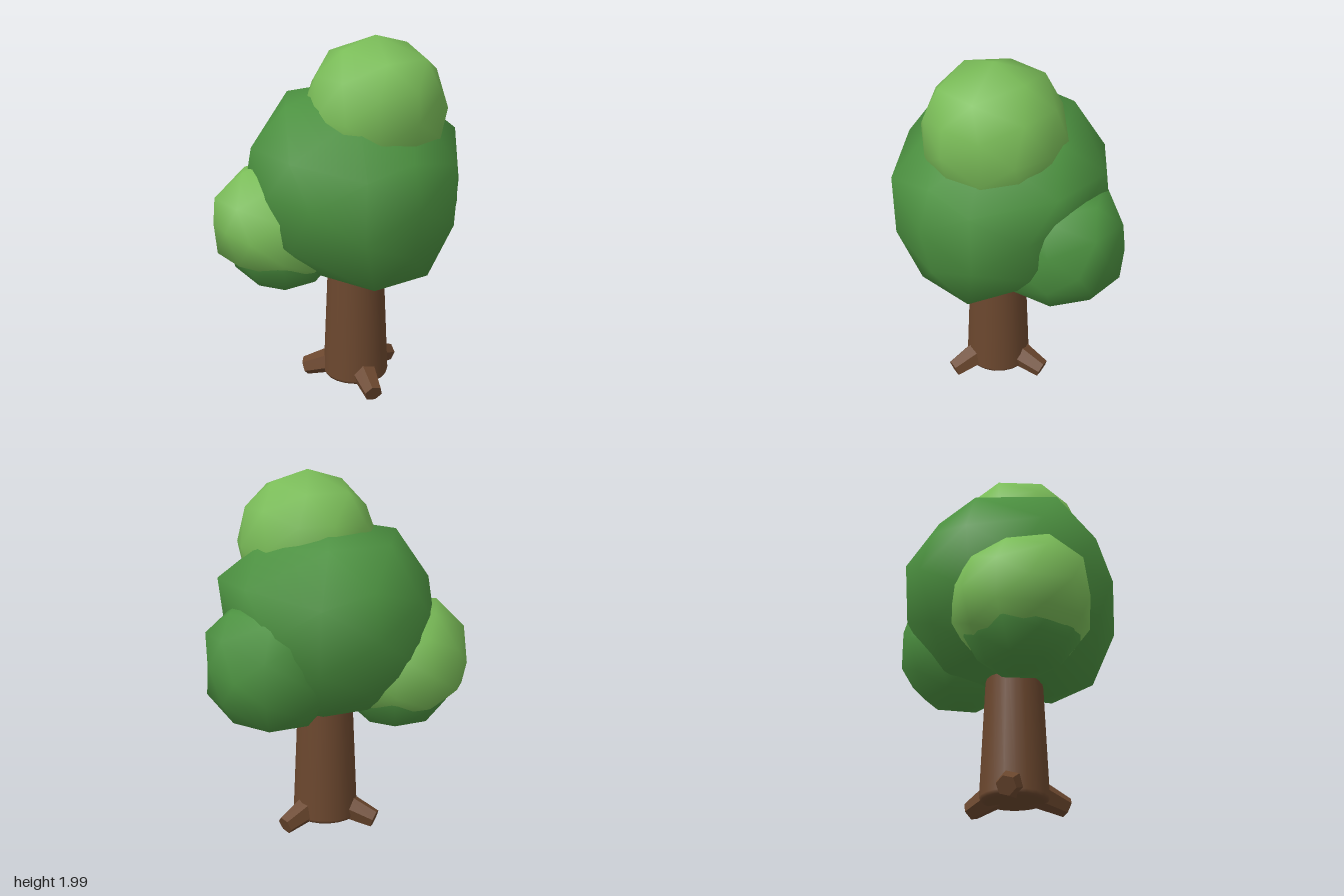
import * as THREE from 'three';
import { mergeVertices } from 'three/addons/utils/BufferGeometryUtils.js';

const paint = (name, color) => {
  const m = new THREE.MeshStandardMaterial({ color });
  m.name = name;
  return m;
};

// Faceted ball with smooth normals. Each nudge is [direction, offset, mirror]: the vertex
// in that direction moves by the offset, and so does its mirror across x or z
function leafBall(name, material, centre, radii, nudges) {
  const raw = new THREE.IcosahedronGeometry(1, 1);
  raw.deleteAttribute('normal');
  raw.deleteAttribute('uv');
  const geo = mergeVertices(raw, 1e-4);
  const pos = geo.attributes.position;
  const v = new THREE.Vector3();
  const dir = new THREE.Vector3();
  const size = new THREE.Vector3(...radii);
  const offset = new THREE.Vector3();
  for (let i = 0; i < pos.count; i++) {
    v.fromBufferAttribute(pos, i);
    offset.set(0, 0, 0);
    for (const [toward, move, mirror] of nudges) {
      dir.set(...toward).normalize();
      let hit = v.dot(dir) > 0.95;
      if (mirror === 'x') hit = hit || v.dot(dir.setX(-dir.x)) > 0.95;
      if (mirror === 'z') hit = hit || v.dot(dir.setZ(-dir.z)) > 0.95;
      if (hit) offset.set(...move);
    }
    v.multiply(size).add(offset);
    pos.setXYZ(i, v.x, v.y, v.z);
  }
  geo.computeVertexNormals();
  const mesh = new THREE.Mesh(geo, material);
  mesh.name = name;
  mesh.position.set(...centre);
  return mesh;
}

export function createModel() {
  const tree = new THREE.Group();
  tree.name = 'tree';
  const bark = paint('bark brown', 0x6b472e);
  const rootBark = paint('root brown', 0x6b472e);
  rootBark.flatShading = true;
  const leaf = paint('leaf green', 0x4c9140);
  const lightLeaf = paint('light leaf green', 0x7abc58);

  // Tapered trunk with a softened foot
  const profile = [[0, 0.05], [0.155, 0.05], [0.174, 0.057], [0.183, 0.075], [0.147, 0.9]]
    .map(([x, y]) => new THREE.Vector2(x, y));
  const trunk = new THREE.Mesh(new THREE.LatheGeometry(profile, 20), bark);
  trunk.name = 'trunk';
  trunk.position.z = 0.03;
  tree.add(trunk);

  // Three six-sided roots spread evenly around the foot
  const up = new THREE.Vector3(0, 1, 0);
  for (let i = 0; i < 3; i++) {
    const a = THREE.MathUtils.degToRad(-14 + i * 120);
    const at = (r, y) => new THREE.Vector3(Math.cos(a) * r, y, 0.03 + Math.sin(a) * r);
    const start = at(0.08, 0.13);
    const tip = at(0.295, 0.054);
    const axis = tip.clone().sub(start);
    const root = new THREE.Mesh(new THREE.CylinderGeometry(0.052, 0.082, axis.length(), 6), rootBark);
    root.name = 'root' + (i + 1);
    root.position.copy(start).add(tip).multiplyScalar(0.5);
    root.quaternion.setFromUnitVectors(up, axis.normalize());
    tree.add(root);
  }

  // Crown
  tree.add(
    leafBall('mainCrown', leaf, [0, 1.2, 0], [0.57, 0.55, 0.6], [
      [[-0.53, 0.85, 0], [-0.12, 0, 0]],
      [[0.53, 0.85, 0], [0.1, -0.04, 0]],
      [[-0.81, 0.5, 0.31], [-0.06, -0.05, 0], 'z'],
      [[0.81, 0.5, 0.31], [0.1, -0.03, 0], 'z'],
      [[-1, 0, 0], [0.02, 0, 0]],
      [[1, 0, 0], [-0.06, 0, 0]],
      [[-0.81, -0.5, 0.31], [-0.06, 0.03, 0], 'z'],
      [[0.81, -0.5, 0.31], [0.02, -0.02, 0], 'z'],
      [[0, 0.53, -0.85], [0, -0.05, -0.02]],
      [[0, 0.53, 0.85], [0, -0.07, 0.02]],
      [[0.5, 0.31, 0.81], [0, 0, 0.04], 'x'],
      [[0.5, -0.31, 0.81], [0, 0, 0.03], 'x'],
      [[0.5, 0.31, -0.81], [0, 0, -0.025], 'x'],
      [[0.31, 0.81, -0.5], [0, 0, -0.07], 'x'],
      [[0, -0.53, 0.85], [0, 0, 0.02]],
      [[0.31, -0.81, 0.5], [0, -0.01, 0.14], 'x'],
      [[0, -1, 0], [0, 0, 0.18]],
    ]),
    leafBall('topCrown', lightLeaf, [0.06, 1.61, 0.12], [0.39, 0.39, 0.375], [
      [[0, 0.53, 0.85], [0, -0.05, 0.04]],
      [[0.31, 0.81, 0.5], [0, -0.02, 0.08], 'x'],
      [[0.31, 0.81, -0.5], [0, -0.03, -0.06], 'x'],
      [[0, 0.53, -0.85], [0, -0.08, -0.01]],
      [[-0.81, 0.5, 0.31], [0.02, 0, 0], 'z'],
    ]),
    // Light lobe with a flattened bottom, and the dark underside below it
    leafBall('rightLobe', lightLeaf, [-0.34, 0.97, -0.19], [0.37, 0.36, 0.375], [
      [[-0.53, 0.85, 0], [-0.04, 0.02, 0]],
      [[-0.81, 0.5, 0.31], [-0.05, 0, 0.01], 'z'],
      [[-1, 0, 0], [0, 0.03, 0.04]],
      [[-0.81, -0.5, 0.31], [-0.04, 0.04, 0], 'z'],
      [[0.31, -0.81, 0.5], [0, 0.055, 0], 'x'],
      [[0.31, -0.81, -0.5], [0, 0.055, 0], 'x'],
      [[-0.53, -0.85, 0], [0, 0.07, 0]],
      [[0.53, -0.85, 0], [0, 0.07, 0]],
      [[0, -1, 0], [0, 0.12, 0]],
    ]),
    leafBall('rightLobeUnderside', leaf, [-0.335, 0.88, -0.18], [0.315, 0.285, 0.315], [
      [[0, 1, 0], [0, -0.05, 0]],
    ]),
    leafBall('leftLobe', leaf, [0.35, 0.985, -0.07], [0.36, 0.355, 0.355], [
      [[0.53, 0.85, 0], [0.06, 0.02, 0]],
      [[0.81, 0.5, 0.31], [0.05, 0.03, 0], 'z'],
      [[1, 0, 0], [0, 0.04, 0.02]],
      [[0.81, -0.5, 0.31], [0.05, 0.05, 0], 'z'],
      [[0.53, -0.85, 0], [0.05, 0.03, 0]],
      [[0, 0.53, -0.85], [0, 0.03, -0.03]],
      [[0, 0.53, 0.85], [0, 0.02, 0.05]],
      [[0.31, 0.81, 0.5], [0, 0.02, 0.08], 'x'],
      [[0.31, 0.81, -0.5], [0, 0.02, -0.06], 'x'],
      [[0, -0.53, 0.85], [0, 0.04, 0.05]],
    ]),
  );
  return tree;
}
